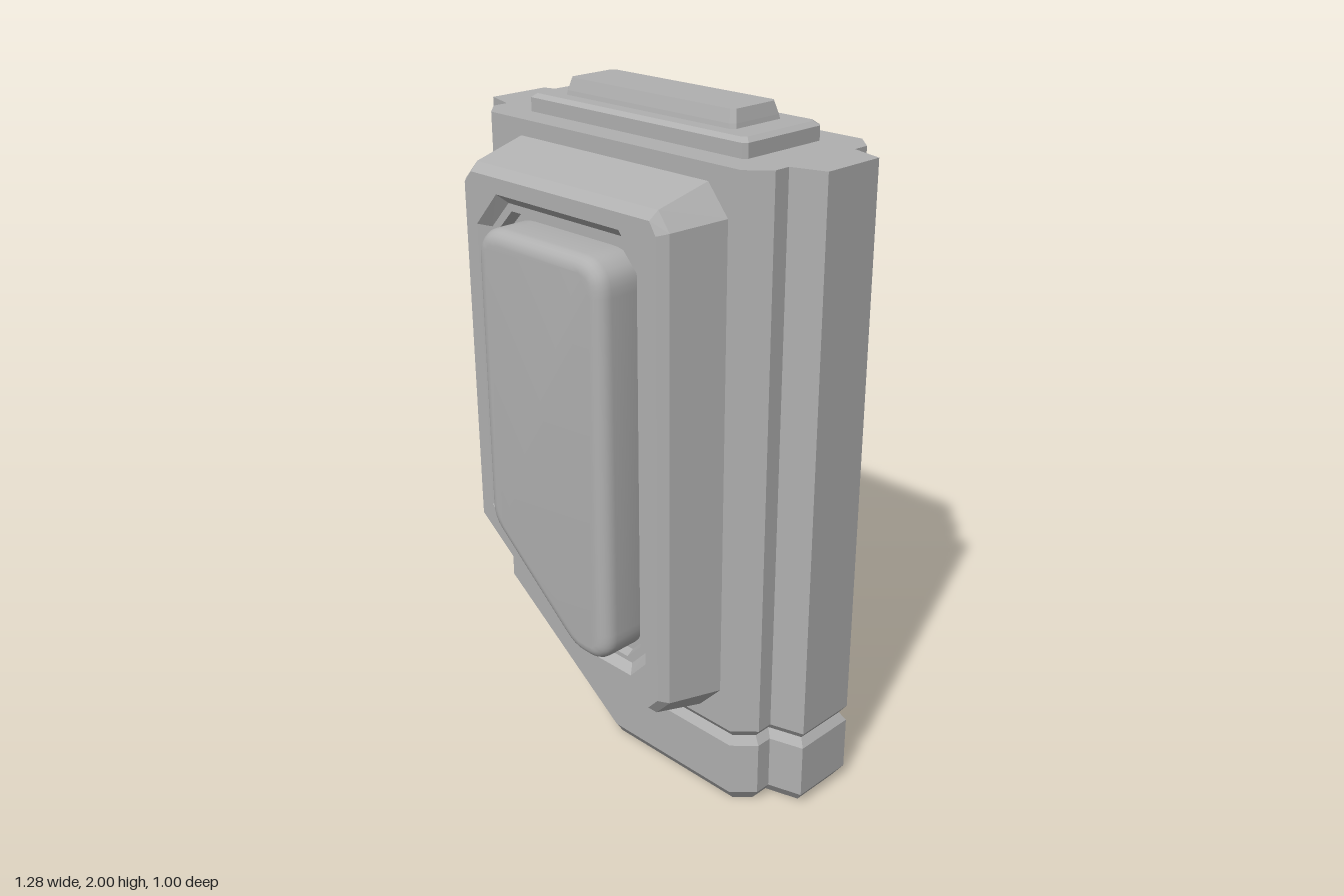
import * as THREE from 'three';
import { toCreasedNormals } from 'three/addons/utils/BufferGeometryUtils.js';

const grey = new THREE.MeshStandardMaterial({ color: 0xb0b0b0 });
grey.name = 'grey metal';

const V = (x, y, z) => new THREE.Vector3(x, y, z);

// Flat-shaded geometry from a list of triangle corners
function fromTriangles(points) {
  const geo = new THREE.BufferGeometry().setFromPoints(points);
  geo.computeVertexNormals();
  return geo;
}

// Quads joining neighbouring closed rings that run counter-clockwise
function skin(rings) {
  const out = [];
  for (let k = 0; k < rings.length - 1; k++) {
    const a = rings[k], b = rings[k + 1], n = a.length;
    for (let i = 0; i < n; i++) {
      const j = (i + 1) % n;
      out.push(a[i], a[j], b[j], a[i], b[j], b[i]);
    }
  }
  return out;
}

// Fan that closes the last ring
function cap(ring) {
  const c = ring.reduce((s, p) => s.add(p), V(0, 0, 0)).divideScalar(ring.length);
  return ring.flatMap((p, i) => [c, p, ring[(i + 1) % ring.length]]);
}

// Mirror front to back, keeping faces outward
function mirrorZ(source) {
  const geo = (source.index ? source.toNonIndexed() : source.clone()).scale(1, 1, -1);
  for (const name of ['position', 'normal']) {
    const at = geo.attributes[name];
    const p = V(0, 0, 0), q = V(0, 0, 0);
    for (let i = 0; i < at.count; i += 3) {
      p.fromBufferAttribute(at, i + 1);
      q.fromBufferAttribute(at, i + 2);
      at.setXYZ(i + 1, q.x, q.y, q.z);
      at.setXYZ(i + 2, p.x, p.y, p.z);
    }
  }
  return geo;
}

// Stepped body whose underside slopes up toward one side
function bodyGeometry() {
  const half = [[-0.64, 0.1], [-0.54, 0.13], [-0.54, 0.18], [-0.48, 0.237], [0, 0.237],
    [0.48, 0.237], [0.54, 0.18], [0.54, 0.13], [0.64, 0.1]];
  const plan = [...half, ...half.map(([x, z]) => [x, -z]).reverse()];
  const n = plan.length;
  const base = x => 0.35 * THREE.MathUtils.clamp(-x / 0.48, 0, 1);
  const normal = i => {
    const [x0, z0] = plan[(i + n) % n], [x1, z1] = plan[(i + 1) % n];
    return new THREE.Vector2(z0 - z1, x1 - x0).normalize();
  };
  const ring = (height, inset) => plan.map(([x, z], i) => {
    const a = normal(i - 1), b = normal(i), k = inset / (1 + a.dot(b));
    return V(x - k * (a.x + b.x), height(base(x)), z - k * (a.y + b.y));
  });
  const rings = [
    ring(b => b, 0.028),            // bottom bevel
    ring(b => b + 0.04, 0),
    ring(b => b + 0.205, 0),        // groove
    ring(b => b + 0.23, 0.018),
    ring(b => b + 0.255, 0),
    ring(() => 1.9, 0),
  ];
  const out = skin(rings);
  const top = rings[rings.length - 1], low = rings[0];
  for (let i = 0; i < half.length - 1; i++) {
    const j = i + 1, mi = n - 1 - i, mj = n - 1 - j;
    out.push(top[i], top[j], top[mj], top[i], top[mj], top[mi]);
    out.push(low[i], low[mj], low[j], low[i], low[mi], low[mj]);
  }
  return fromTriangles(out);
}

// Eight-cornered outlines, counter-clockwise from the front
const outer = [[-0.35, 1.855], [-0.45, 1.755], [-0.45, 0.705], [0.08, 0.29],
  [0.36, 0.29], [0.44, 0.376], [0.44, 1.77], [0.37, 1.855]];
const face = [[-0.345, 1.785], [-0.375, 1.75], [-0.375, 0.725], [0.1, 0.36],
  [0.335, 0.36], [0.372, 0.4], [0.372, 1.75], [0.35, 1.785]];
const recess = [[-0.24, 1.74], [-0.33, 1.64], [-0.33, 0.77], [0.08, 0.435],
  [0.265, 0.435], [0.325, 0.5], [0.325, 1.64], [0.24, 1.74]];
const padLine = [[-0.2, 1.67], [-0.25, 1.62], [-0.25, 0.78], [0.1, 0.482],
  [0.2, 0.48], [0.25, 0.53], [0.25, 1.62], [0.2, 1.67]];

// Raised housing with a stepped recess
function housingGeometry() {
  const mix = (a, b, t, z) => a.map(([x, y], i) =>
    V(x + (b[i][0] - x) * t, y + (b[i][1] - y) * t, z));
  const rings = [
    mix(outer, face, 0, 0.23),
    mix(outer, face, 0.65, 0.4),
    mix(outer, face, 1, 0.425),
    mix(recess, padLine, 0, 0.425),
    mix(recess, padLine, 0.38, 0.395),
    mix(recess, padLine, 0.68, 0.395),
    mix(recess, padLine, 0.82, 0.365),
  ];
  return fromTriangles([...skin(rings), ...cap(rings[rings.length - 1])]);
}

// Soft-edged pad with rounded corners
function padGeometry() {
  const shape = new THREE.Shape();
  const n = padLine.length;
  padLine.forEach((p, i) => {
    const corner = new THREE.Vector2(...p);
    const toward = q => {
      const d = new THREE.Vector2(...q).sub(corner);
      return d.setLength(Math.min(0.05, d.length() * 0.4)).add(corner);
    };
    const a = toward(padLine[(i + n - 1) % n]), b = toward(padLine[(i + 1) % n]);
    if (i === 0) shape.moveTo(a.x, a.y); else shape.lineTo(a.x, a.y);
    shape.quadraticCurveTo(corner.x, corner.y, b.x, b.y);
  });
  shape.closePath();
  const geo = new THREE.ExtrudeGeometry(shape, {
    depth: 0.1, bevelThickness: 0.04, bevelSize: 0.04, bevelOffset: -0.04,
    bevelSegments: 5, curveSegments: 4,
  });
  geo.translate(0, 0, 0.36);
  return toCreasedNormals(geo, 0.7);
}

// Rectangular plate with clipped corners; levels are [y, half width, half depth]
function plateGeometry(levels, clip) {
  const rings = levels.map(([y, w, d]) => [
    [w, d - clip], [w, clip - d], [w - clip, -d], [clip - w, -d],
    [-w, clip - d], [-w, d - clip], [clip - w, d], [w - clip, d],
  ].map(([x, z]) => V(x, y, z)));
  return fromTriangles([...skin(rings), ...cap(rings[rings.length - 1])]);
}

export function createModel() {
  const model = new THREE.Group();
  model.name = 'model';
  const add = (name, geo) => {
    const mesh = new THREE.Mesh(geo, grey);
    mesh.name = name;
    model.add(mesh);
  };

  add('body', bodyGeometry());

  const housing = housingGeometry(), pad = padGeometry();
  add('frontHousing', housing);
  add('backHousing', mirrorZ(housing));
  add('frontPad', pad);
  add('backPad', mirrorZ(pad));

  add('topPlate', plateGeometry([[1.89, 0.415, 0.152], [1.94, 0.415, 0.152], [1.952, 0.4, 0.14]], 0.012));
  add('topCap', plateGeometry([[1.945, 0.325, 0.099], [1.965, 0.321, 0.095], [2, 0.312, 0.085]], 0.012));
  return model;
}
